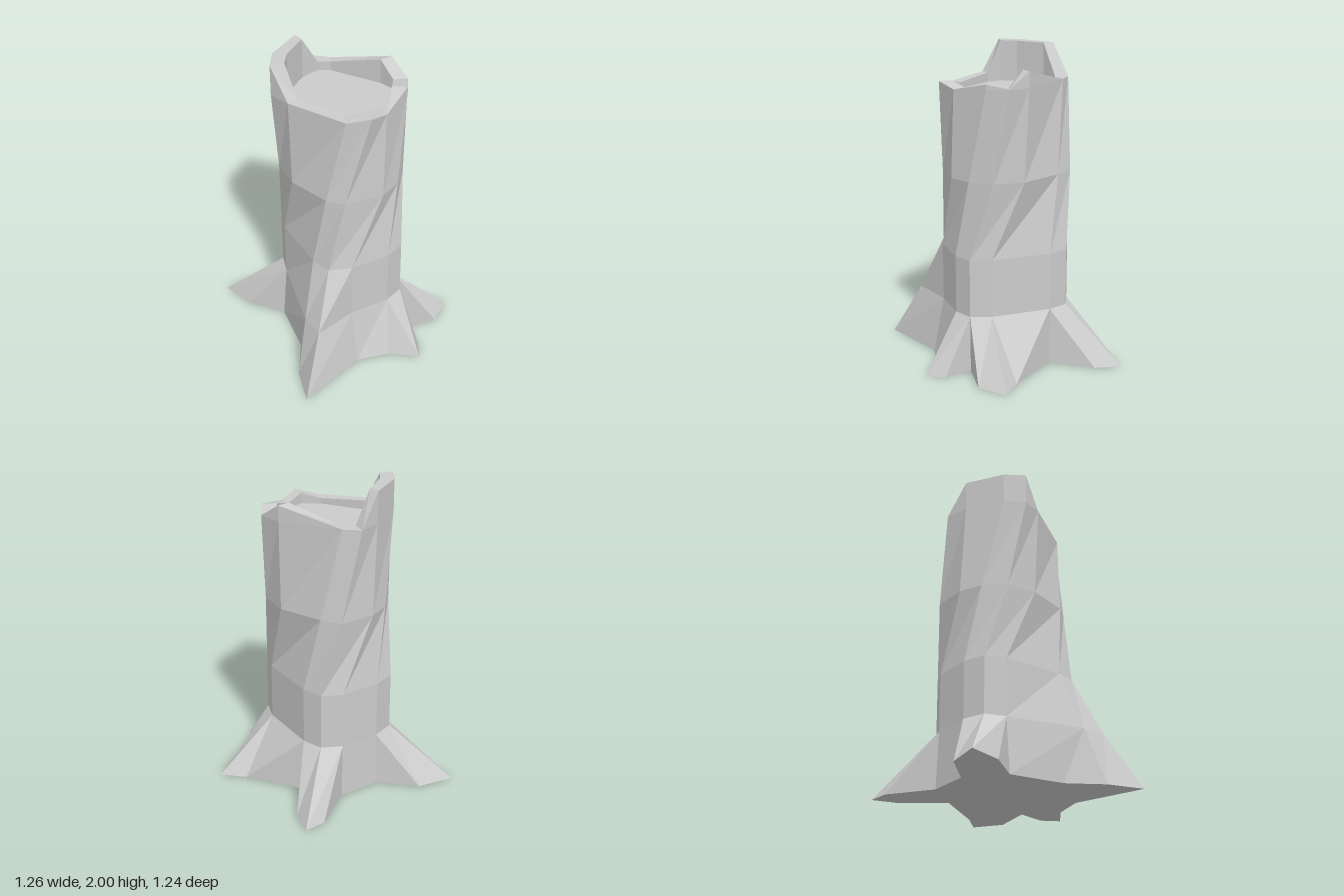
import * as THREE from 'three';

const N = 12;

// Cross-sections of the twisting trunk as [x, z], one entry per bark ridge
const LOWER = [[.205, -.32], [.25, -.19], [.25, .2], [.205, .33], [.08, .38], [-.18, .38],
  [-.32, .33], [-.36, .2], [-.36, -.2], [-.32, -.33], [-.18, -.38], [.08, -.38]];
const MIDDLE = [[.1, -.385], [.175, -.27], [.29, 0], [.28, .2], [.17, .32], [.03, .385],
  [-.22, .36], [-.3, .27], [-.39, 0], [-.38, -.2], [-.27, -.32], [-.13, -.385]];
const UPPER = [[-.02, -.415], [.07, -.34], [.31, -.02], [.345, .12], [.27, .24], [.05, .37],
  [-.08, .42], [-.2, .34], [-.41, .02], [-.455, -.11], [-.38, -.23], [-.16, -.37]];
const INNER = [[-.03, -.33], [.04, -.29], [.23, -.01], [.26, .09], [.19, .19], [.05, .29],
  [-.07, .33], [-.17, .26], [-.34, .01], [-.37, -.09], [-.31, -.18], [-.15, -.30]];
// Height of the broken rim at each ridge
const RIM_Y = [1.8, 1.8, 1.9, 1.805, 1.83, 1.775, 1.81, 1.775, 1.8, 2, 2, 2];

// Ground outline of the roots as [ridge it grows from, x, z]
const GROUND = [[0, .49, -.59], [1, .45, -.42], [1, .27, -.18], [2, .5, .13], [2, .63, .25],
  [3, .47, .37], [3, .21, .33], [3, .25, .51], [4, .19, .62], [4, .03, .5], [5, -.18, .45],
  [6, -.63, .6], [7, -.57, .37], [7, -.44, .15], [8, -.39, -.2], [8, -.56, -.4],
  [9, -.63, -.62], [10, -.39, -.58], [10, -.18, -.39], [11, .09, -.39], [11, .35, -.58]];

const material = new THREE.MeshStandardMaterial({ color: 0xcccccc, flatShading: true });

// Place a cross-section at a height (number or function of the ridge index)
const lift = (section, y) => section.map(([x, z], i) =>
  new THREE.Vector3(x, typeof y === 'function' ? y(i) : y, z));

function addTriangle(out, a, b, c) {
  const area = new THREE.Triangle(a, b, c).getArea();
  if (area > 1e-6) out.push(a, b, c);
}

// Join two closed rings with outward-facing triangles
function addBand(out, low, high) {
  for (let i = 0; i < low.length; i++) {
    const j = (i + 1) % low.length;
    addTriangle(out, low[i], high[i], low[j]);
    addTriangle(out, low[j], high[i], high[j]);
  }
}

// Fill a closed level outline, facing up or down
function addCap(out, ring, up) {
  const outline = ring.map(p => new THREE.Vector2(p.x, p.z));
  for (const face of THREE.ShapeUtils.triangulateShape(outline, [])) {
    const [a, b, c] = face.map(i => ring[i]);
    const normal = b.clone().sub(a).cross(c.clone().sub(a));
    if ((normal.y > 0) === up) addTriangle(out, a, b, c);
    else addTriangle(out, a, c, b);
  }
}

function makeMesh(name, points) {
  const geometry = new THREE.BufferGeometry().setFromPoints(points);
  geometry.computeVertexNormals();
  const mesh = new THREE.Mesh(geometry, material);
  mesh.name = name;
  return mesh;
}

export function createModel() {
  const group = new THREE.Group();
  group.name = 'treeStump';

  // Ring where the roots start; the big front root bulges out of it
  const rootTop = lift(LOWER, 0.36);
  rootTop[6].set(-.46, .36, .45);
  rootTop[7].set(-.47, .36, .29);

  // Twisted trunk
  const shoulder = lift(UPPER, i => Math.min(RIM_Y[i], 1.8));
  const rings = [rootTop, lift(LOWER, 0.73), lift(MIDDLE, 1.22), shoulder];
  const trunk = [];
  for (let k = 0; k < rings.length - 1; k++) addBand(trunk, rings[k], rings[k + 1]);
  group.add(makeMesh('trunk', trunk));

  // Jagged rim: raised splinters, top edge and inner wall
  const rimOuter = lift(UPPER, i => RIM_Y[i]);
  const rimInner = lift(INNER, i => RIM_Y[i]);
  const floorRing = lift(INNER, 1.74);
  const rim = [];
  addBand(rim, shoulder, rimOuter);
  addBand(rim, rimOuter, rimInner);
  addBand(rim, rimInner, floorRing);
  group.add(makeMesh('brokenRim', rim));

  // Floor of the hollow
  const floor = [];
  addCap(floor, floorRing, true);
  group.add(makeMesh('hollowFloor', floor));

  // Roots spreading to the ground, and the underside
  const ground = GROUND.map(([, x, z]) => new THREE.Vector3(x, 0, z));
  const roots = [];
  GROUND.forEach(([ridge], i) => {
    const j = (i + 1) % GROUND.length;
    const next = GROUND[j][0] % N;
    addTriangle(roots, ground[i], rootTop[ridge], ground[j]);
    if (next !== ridge) addTriangle(roots, ground[j], rootTop[ridge], rootTop[next]);
  });
  group.add(makeMesh('roots', roots));

  const underside = [];
  addCap(underside, ground, false);
  group.add(makeMesh('underside', underside));

  return group;
}
